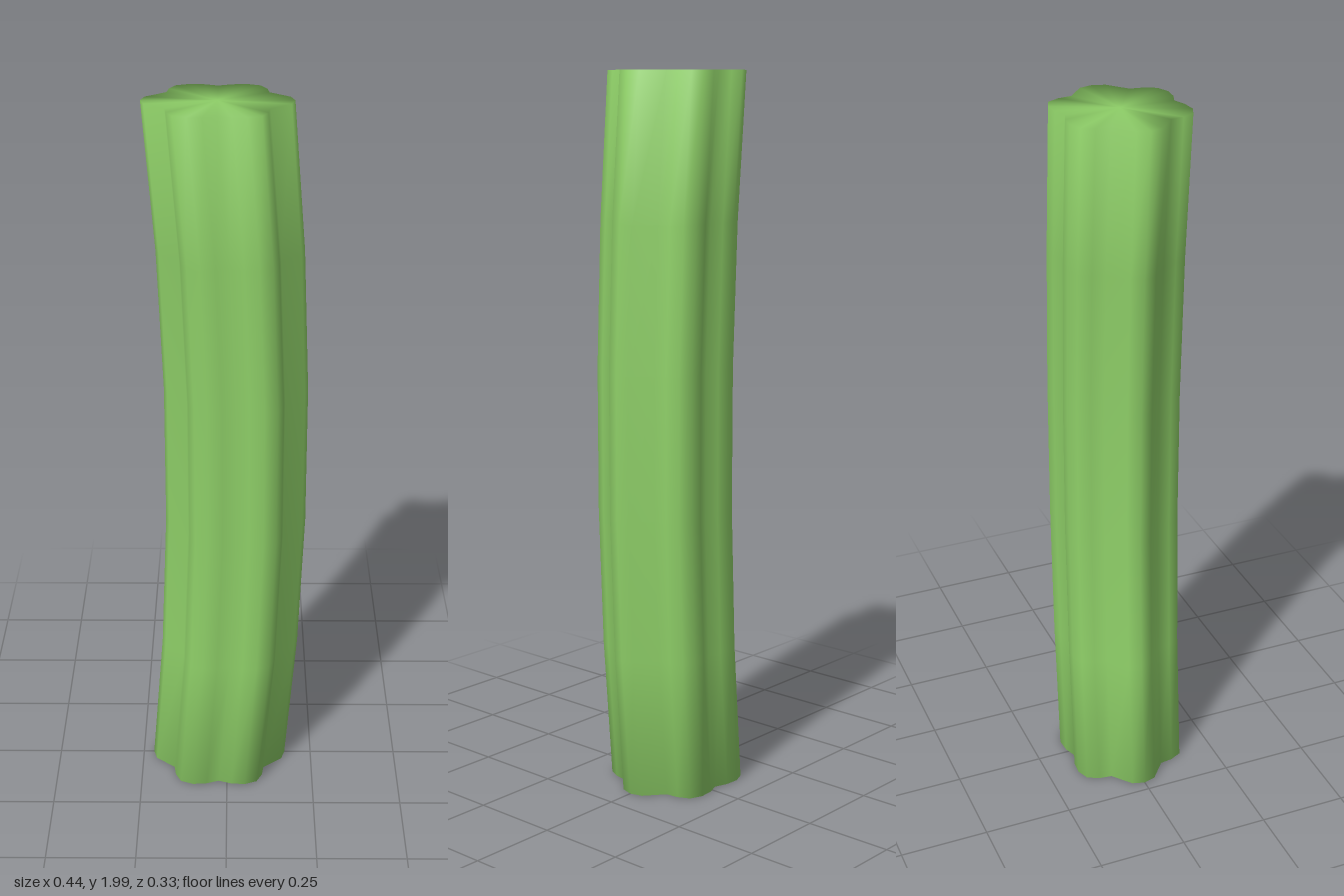
import * as THREE from 'three';

// Quarter of the six-lobed cross-section, from the side tip to the front groove
const QUARTER = [
  [0.196, 0], [0.186, 0.035], [0.132, 0.08], [0.127, 0.116],
  [0.111, 0.149], [0.076, 0.163], [0.036, 0.16], [0, 0.147],
];

// Mirror the quarter into a full closed outline
function outline() {
  const half = [...QUARTER, ...QUARTER.slice(0, -1).reverse().map(([x, z]) => [-x, z])];
  return [...half, ...half.slice(1, -1).reverse().map(([x, z]) => [x, -z])];
}

// Sweep the outline up a gently bowed centre line and close both ends
function stalkGeometry() {
  const section = outline(), n = section.length, rings = 5;
  const y0 = 0.007, y1 = 1.998;
  const bow = (t) => -0.024 + 0.048 * Math.min(1, 1.04 * (1 - (2 * t - 1) ** 2));
  const positions = [], index = [];
  for (let j = 0; j <= rings; j++) {
    const t = j / rings;
    for (const [x, z] of section) positions.push(x + bow(t), y0 + (y1 - y0) * t, z);
  }
  const bottom = n * (rings + 1), top = bottom + 1, last = n * rings;
  positions.push(bow(0), y0, 0, bow(1), y1, 0);
  for (let i = 0; i < n; i++) {
    const k = (i + 1) % n;
    for (let j = 0; j < rings; j++) {
      const a = j * n + i, b = j * n + k;
      index.push(a, a + n, b, b, a + n, b + n);
    }
    index.push(bottom, i, k, top, last + k, last + i);
  }
  const geometry = new THREE.BufferGeometry();
  geometry.setAttribute('position', new THREE.Float32BufferAttribute(positions, 3));
  geometry.setIndex(index);
  geometry.computeVertexNormals(); // ends share soft normals with the sides
  return geometry;
}

export function createModel() {
  const group = new THREE.Group();
  const stalk = new THREE.Mesh(
    stalkGeometry(),
    new THREE.MeshStandardMaterial({ color: 0x8fd068 }),
  );
  stalk.name = 'stalk';
  group.add(stalk);
  return group;
}
